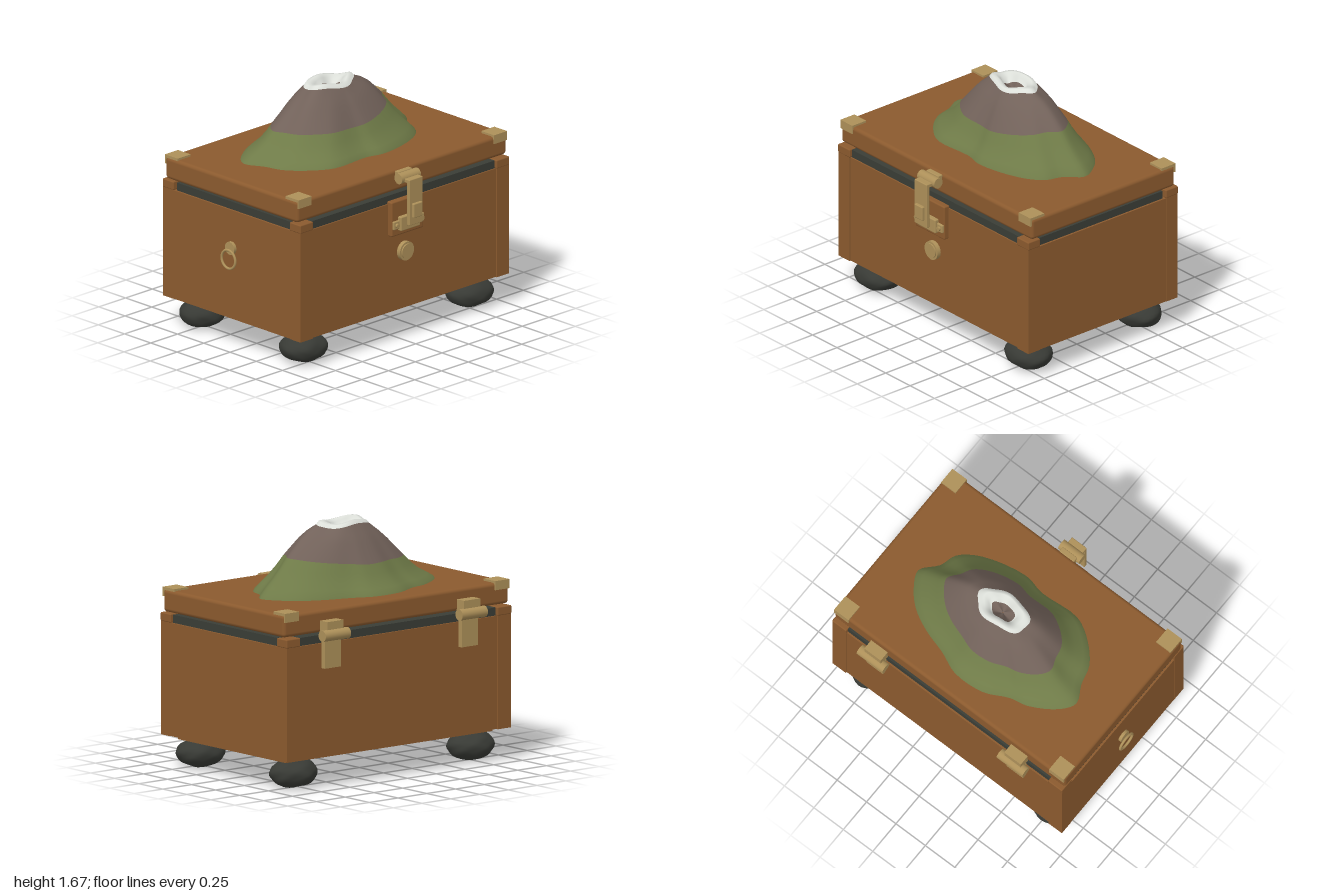
import * as THREE from 'three';
import { RoundedBoxGeometry } from 'three/addons/geometries/RoundedBoxGeometry.js';
import { mergeVertices } from 'three/addons/utils/BufferGeometryUtils.js';

const mat = (name, color) => Object.assign(new THREE.MeshStandardMaterial({ color }), { name });

export function createModel() {
  const model = new THREE.Group();
  model.name = 'volcanoChest';
  const wood = mat('wood', 0x8b5a2e);
  const brass = mat('brass', 0xad9059);
  const dark = mat('darkSeal', 0x3a3d36);
  const stone = mat('stone', 0x383a35);
  const grass = mat('grass', 0x6f7b48);
  const rock = mat('rock', 0x72625a);
  const snow = mat('snow', 0xdcdfd9);

  const add = (name, geo, material, x = 0, y = 0, z = 0, parent = model) => {
    const m = new THREE.Mesh(geo, material);
    m.name = name;
    m.position.set(x, y, z);
    parent.add(m);
    return m;
  };
  // Box given by its limits on each axis, optionally rounded
  const box = (name, material, x0, x1, y0, y1, z0, z1, r = 0, parent = model) => {
    const s = [x1 - x0, y1 - y0, z1 - z0];
    const geo = r ? new RoundedBoxGeometry(...s, 2, r) : new THREE.BoxGeometry(...s);
    return add(name, geo, material, (x0 + x1) / 2, (y0 + y1) / 2, (z0 + z1) / 2, parent);
  };
  const rod = (name, material, r, len, axis, x, y, z, parent = model) => {
    const geo = new THREE.CylinderGeometry(r, r, len, 28);
    if (axis === 'x') geo.rotateZ(Math.PI / 2);
    if (axis === 'z') geo.rotateX(Math.PI / 2);
    return add(name, geo, material, x, y, z, parent);
  };

  // Chest body, base board and dark seal under the lid
  box('body', wood, -0.959, 0.989, 0.222, 0.99, -0.672, 0.622);
  box('baseBoard', wood, -0.88, 0.915, 0.19, 0.225, -0.58, 0.54);
  box('sealSides', dark, -0.945, 0.975, 0.985, 1.045, -0.56, 0.52);
  box('sealFrontBack', dark, -0.845, 0.875, 0.985, 1.045, -0.66, 0.612);

  // Corner posts with slightly wider caps
  for (const [x0, x1] of [[-0.96, -0.845], [0.875, 0.99]]) {
    for (const [z0, z1] of [[-0.68, -0.58], [0.53, 0.63]]) {
      box('cornerPost', wood, x0, x1, 0.22, 1.0, z0, z1);
      box('postCap', wood, x0 - 0.003, x1 + 0.003, 0.99, 1.05, z0 - 0.003, z1 + 0.003, 0.008);
    }
  }

  // Lid with brass corner brackets
  box('lid', wood, -0.965, 0.995, 1.058, 1.21, -0.655, 0.605, 0.025);
  for (const [x0, x1] of [[-0.96, -0.838], [0.868, 0.99]]) {
    for (const s of [-1, 1]) {
      const edge = s > 0 ? 0.612 : -0.662, inner = edge - s * 0.122, lip = edge - s * 0.012;
      box('bracketTop', brass, x0, x1, 1.205, 1.224, Math.min(edge, inner), Math.max(edge, inner));
      box('bracketLip', brass, x0, x1, 1.162, 1.222, Math.min(edge, lip), Math.max(edge, lip));
    }
  }

  // Lumpy stone feet
  for (const x of [-0.757, 0.788]) {
    for (const z of [-0.505, 0.455]) {
      let geo = new THREE.IcosahedronGeometry(1, 5);
      geo.deleteAttribute('uv');
      geo.deleteAttribute('normal');
      geo = mergeVertices(geo);
      const p = geo.attributes.position, v = new THREE.Vector3();
      for (let i = 0; i < p.count; i++) {
        v.fromBufferAttribute(p, i);
        const k = 0.97 + 0.035 * Math.sin(5 * v.x + 3 * z) * Math.cos(4 * v.z + x)
          + 0.03 * Math.sin(7 * v.y + 4 * v.z) * Math.sin(6 * v.x + 2);
        p.setXYZ(i, v.x * k * 0.178, v.y * k * 0.102, v.z * k * 0.152);
      }
      geo.computeVertexNormals();
      add('stoneFoot', geo, stone, x, 0.101, z);
    }
  }

  // Front latch: wooden plate, catch, hasp and top knuckle
  const latch = new THREE.Group();
  latch.name = 'latch';
  latch.position.x = 0.013;
  model.add(latch);
  box('latchPlate', wood, -0.148, 0.148, 0.765, 1.01, 0.61, 0.66, 0.01, latch);
  box('catchWings', brass, -0.143, 0.143, 0.815, 0.875, 0.65, 0.675, 0.008, latch);
  box('catch', brass, -0.09, 0.09, 0.8, 0.9, 0.65, 0.69, 0.008, latch);
  for (const s of [-1, 1]) rod('rivet', brass, 0.015, 0.02, 'z', s * 0.115, 0.845, 0.68, latch);
  box('hasp', brass, -0.063, 0.063, 0.845, 1.165, 0.715, 0.742, 0.006, latch);
  box('haspArm', brass, -0.063, 0.063, 1.142, 1.17, 0.65, 0.742, 0.006, latch);
  box('haspPad', brass, -0.042, 0.042, 0.9, 1.0, 0.735, 0.763, 0.006, latch);
  rod('haspKnuckle', brass, 0.037, 0.176, 'x', 0, 1.165, 0.66, latch);
  box('haspMount', brass, -0.063, 0.063, 1.13, 1.203, 0.6, 0.64, 0.006, latch);

  // Round button below the latch
  rod('button', brass, 0.066, 0.035, 'z', 0.015, 0.63, 0.634);
  rod('buttonFace', brass, 0.052, 0.01, 'z', 0.015, 0.63, 0.655);

  // Back hinges
  for (const x of [-0.58, 0.61]) {
    rod('hingeKnuckle', brass, 0.038, 0.22, 'x', x, 1.048, -0.725);
    box('hingeUpper', brass, x - 0.07, x + 0.07, 1.05, 1.14, -0.73, -0.65);
    box('hingeLower', brass, x - 0.07, x + 0.07, 0.82, 1.04, -0.705, -0.67);
  }

  // Ring pull on the side
  rod('ringMount', brass, 0.045, 0.022, 'x', -0.969, 0.725, -0.025);
  add('ringPull', new THREE.TorusGeometry(0.065, 0.009, 10, 32).rotateY(Math.PI / 2), brass, -0.99, 0.65, -0.025);

  add('volcano', volcanoGeometry(), [grass, rock, snow]);
  return model;
}

// Mountain lofted from an irregular foot to an oval crater
function volcanoGeometry() {
  const foot = [
    [-0.70, -0.18], [-0.64, -0.28], [-0.45, -0.40], [-0.32, -0.43], [-0.15, -0.51], [0.08, -0.52], [0.24, -0.455],
    [0.43, -0.395], [0.58, -0.315], [0.68, -0.21], [0.735, -0.09], [0.64, 0.03], [0.60, 0.15], [0.455, 0.255],
    [0.135, 0.33], [-0.02, 0.30], [-0.32, 0.31], [-0.48, 0.22], [-0.60, 0.085], [-0.64, -0.05],
  ].map(([x, z]) => new THREE.Vector3(x, 0, z));
  const N = 80, cx = 0.01, cz = -0.085;
  const outline = new THREE.CatmullRomCurve3(foot, true).getPoints(N).slice(0, N);

  // [blend from foot to rim, height, rim scale, material of the band above]
  const rows = [
    [0, 1.195, 1, 0], [0.04, 1.222, 1, 0], [0.13, 1.25, 1, 0], [0.25, 1.285, 1, 0], [0.37, 1.335, 1, 0],
    [0.48, 1.395, 1, 1], [0.6, 1.455, 1, 1], [0.72, 1.52, 1, 1], [0.85, 1.58, 1, 1], [1, 1.638, 1, 2],
    [1, 1.66, 0.9, 2], [1, 1.663, 0.75, 2], [1, 1.645, 0.55, 2], [1, 1.61, 0.44, 1], [1, 1.59, 0.02, 1],
  ];
  const pos = [], index = [];
  const geo = new THREE.BufferGeometry();
  rows.forEach(([t, y, s, m], r) => {
    outline.forEach((p, i) => {
      const a = Math.atan2((p.z - cz) / 0.42, (p.x - cx) / 0.72);
      const w = s * (1 + 0.05 * Math.sin(5 * a + 1));
      const x = THREE.MathUtils.lerp(p.x, cx + 0.2 * w * Math.cos(a), t);
      const z = THREE.MathUtils.lerp(p.z, cz + 0.122 * w * Math.sin(a), t);
      const swell = 0.06 * Math.sin(Math.PI * t) * Math.max(0, Math.cos(a));
      const ripple = 0.01 * t * Math.sin(3 * a + 0.6);
      pos.push(x, y + swell + ripple, z);
    });
    if (r === rows.length - 1) return;
    geo.addGroup(index.length, N * 6, m);
    for (let i = 0; i < N; i++) {
      const j = (i + 1) % N, a = r * N + i, b = r * N + j, c = a + N, d = b + N;
      index.push(a, c, b, b, c, d);
    }
  });
  geo.setAttribute('position', new THREE.Float32BufferAttribute(pos, 3));
  geo.setIndex(index);
  geo.computeVertexNormals();
  return geo;
}
